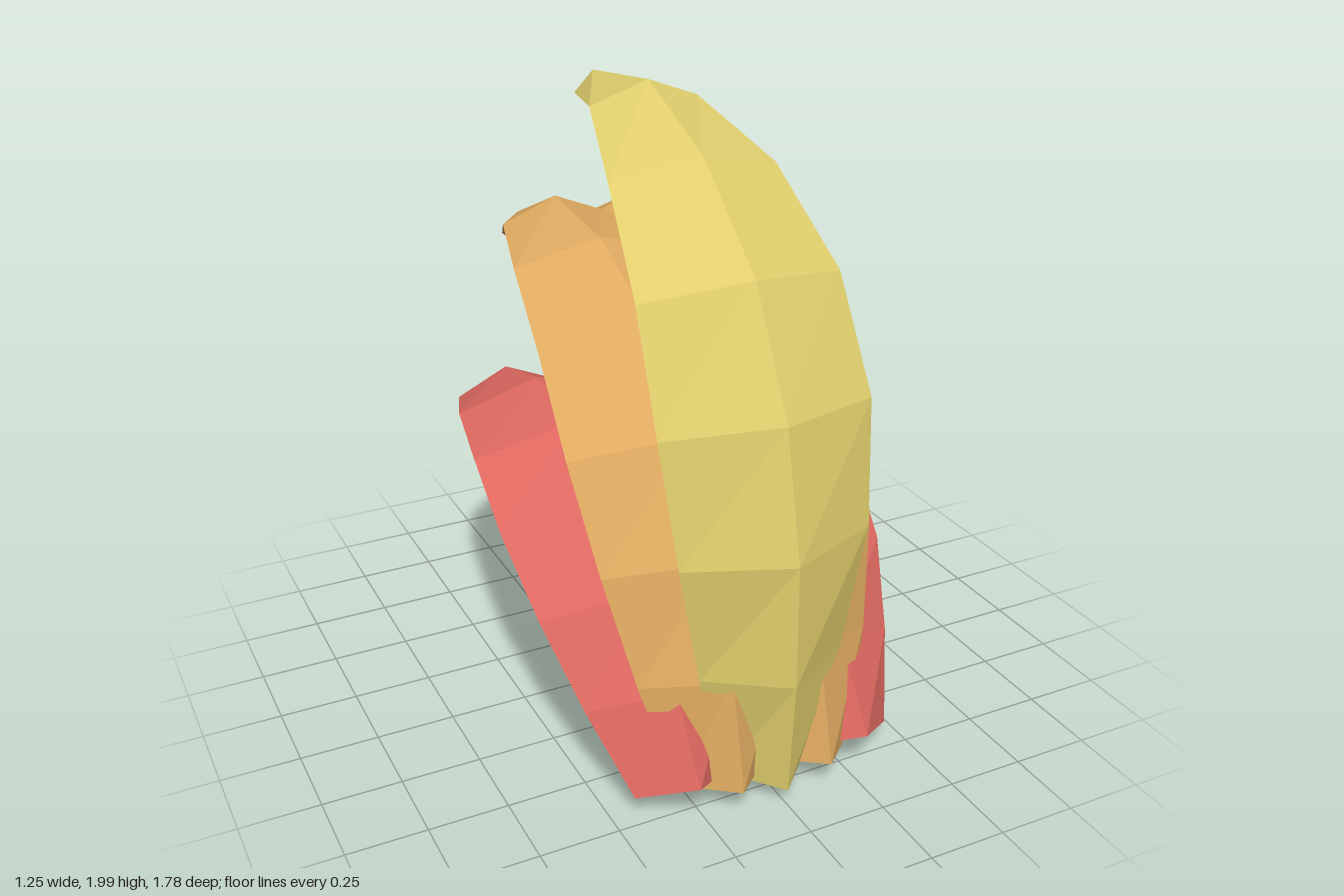
import * as THREE from 'three';

// One entry per ring along a blade, base to tip, relative to the shared root pivot
const SPINE = [[0, 0], [0.025, 0.365], [0.03, 0.745], [-0.04, 1.12], [-0.21, 1.455], [-0.5, 1.71], [-0.83, 1.85], [-1.2, 1.805]]; // z, y
const LEAN = [-8, -4, 1, 10.5, 28, 47, 67, 98]; // ring tilt in degrees
const HALF_WIDTH = [0.15, 0.24, 0.31, 0.342, 0.325, 0.27, 0.18, 0.07];
const HALF_DEPTH = [0.145, 0.143, 0.13, 0.112, 0.097, 0.085, 0.076, 0.066];

// Curved blade with a diamond cross-section, closed at both ends
function bladeGeometry(lengthScale) {
  const rings = SPINE.length - 1;
  const geo = new THREE.CylinderGeometry(1, 1, 1, 4, rings);
  const pos = geo.attributes.position;
  for (let i = 0; i < pos.count; i++) {
    const k = Math.round((pos.getY(i) + 0.5) * rings);
    const a = THREE.MathUtils.degToRad(LEAN[k]);
    const depth = pos.getZ(i) * HALF_DEPTH[k];
    pos.setXYZ(
      i,
      pos.getX(i) * HALF_WIDTH[k],
      SPINE[k][1] * lengthScale + depth * Math.sin(a),
      SPINE[k][0] * lengthScale + depth * Math.cos(a)
    );
  }
  // Separate faces for a faceted look
  const flat = geo.toNonIndexed();
  flat.computeVertexNormals();
  return flat;
}

export function createModel() {
  const group = new THREE.Group();
  const yellow = new THREE.MeshStandardMaterial({ color: 0xdfcd6c });
  yellow.name = 'yellow';
  const orange = new THREE.MeshStandardMaterial({ color: 0xdfaa60 });
  orange.name = 'orange';
  const red = new THREE.MeshStandardMaterial({ color: 0xdd6860 });
  red.name = 'red';

  // Blades fan out from one root: name, material, x offset, length, backward tilt
  const blades = [
    ['centreBlade', yellow, 0, 1, 0],
    ['leftMiddleBlade', orange, 0.15, 0.91, 18],
    ['rightMiddleBlade', orange, -0.15, 0.91, 16.4],
    ['leftOuterBlade', red, 0.285, 0.76, 37.8],
    ['rightOuterBlade', red, -0.285, 0.76, 36.1],
  ];
  for (const [name, material, x, length, tilt] of blades) {
    const blade = new THREE.Mesh(bladeGeometry(length), material);
    blade.name = name;
    blade.position.set(x, 0.078, 0.72);
    blade.rotation.x = -THREE.MathUtils.degToRad(tilt);
    group.add(blade);
  }
  return group;
}
